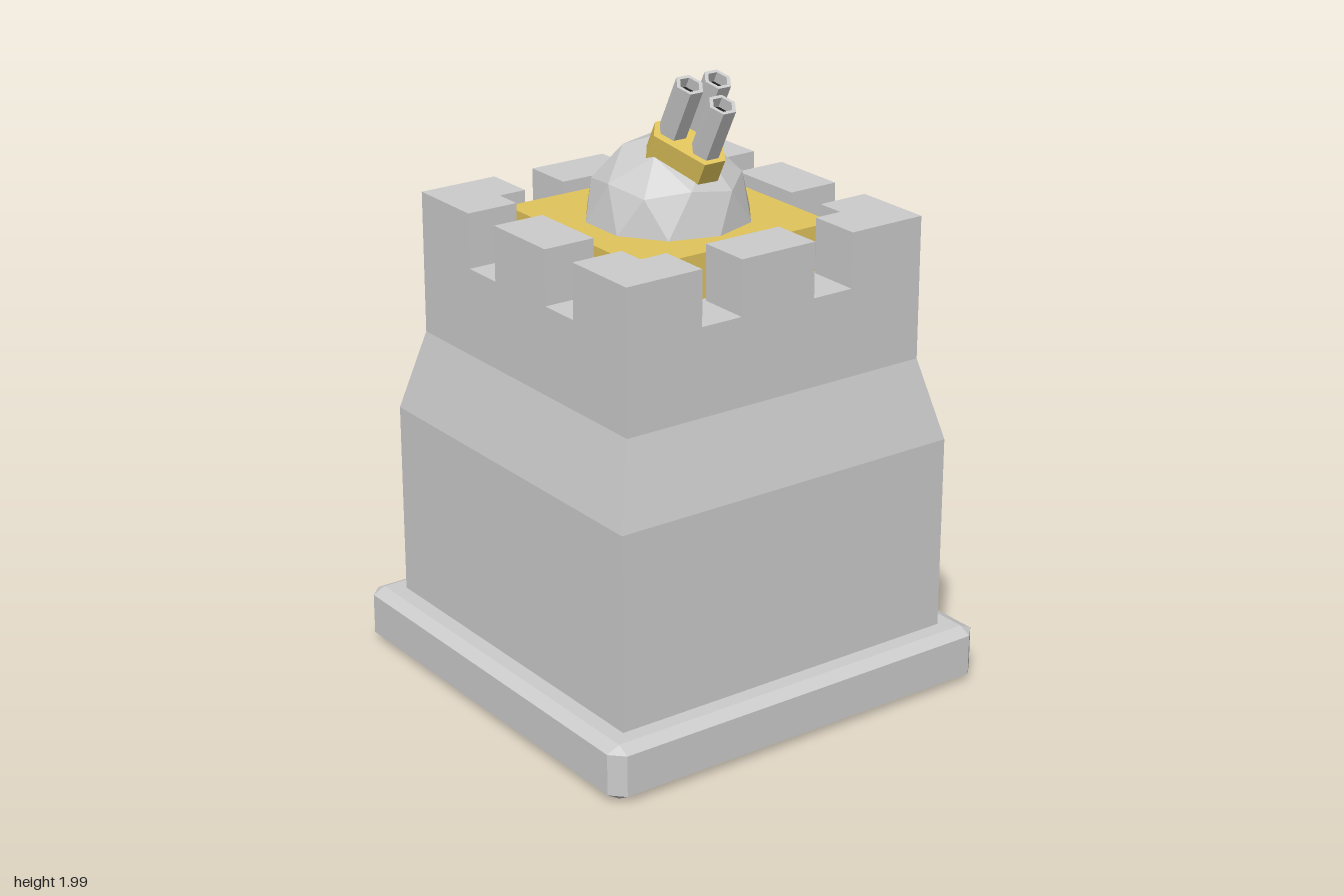
import * as THREE from 'three';
import { ConvexGeometry } from 'three/addons/geometries/ConvexGeometry.js';

const paint = (color) => new THREE.MeshStandardMaterial({ color, flatShading: true });
const GREY = paint(0xcccccc);
const GOLD = paint(0xe0c45c);
const DARK = paint(0x1c1c1c);

function add(parent, name, geometry, material) {
  const mesh = new THREE.Mesh(geometry, material);
  mesh.name = name;
  parent.add(mesh);
  return mesh;
}

// Upright prism from a plan outline of [x, z] points
function prism(outline, y, height) {
  const shape = new THREE.Shape(outline.map(([x, z]) => new THREE.Vector2(x, -z)));
  const geometry = new THREE.ExtrudeGeometry(shape, { depth: height, bevelEnabled: false });
  return geometry.rotateX(-Math.PI / 2).translate(0, y, 0);
}

// Slab with every edge chamfered
function chamferedSlab(half, inner, levels) {
  const points = [];
  for (const sx of [-1, 1]) for (const sz of [-1, 1]) {
    for (const y of [levels[0], levels[3]]) points.push(new THREE.Vector3(sx * inner, y, sz * inner));
    for (const y of [levels[1], levels[2]]) {
      points.push(new THREE.Vector3(sx * half, y, sz * inner));
      points.push(new THREE.Vector3(sx * inner, y, sz * half));
    }
  }
  return new ConvexGeometry(points);
}

// Three barrels on a blunt triangular mount, built along +y
function createGun() {
  const gun = new THREE.Group();
  gun.name = 'gun';
  const outline = [[-0.085, -0.102], [-0.125, -0.048], [-0.038, 0.11],
    [0.038, 0.11], [0.125, -0.048], [0.085, -0.102]];
  add(gun, 'gunMount', prism(outline, 0, 0.098), GOLD);

  const profile = [[0.046, 0.08], [0.046, 0.281], [0.033, 0.281], [0.033, 0.24]]
    .map(([r, y]) => new THREE.Vector2(r, y));
  for (const [x, z] of [[-0.052, -0.051], [0.052, -0.051], [0, 0.054]]) {
    const barrel = add(gun, 'barrel', new THREE.LatheGeometry(profile, 6, Math.PI / 2), GREY);
    barrel.position.set(x, 0, z);
    const bore = add(barrel, 'bore', new THREE.CircleGeometry(0.033, 6).rotateX(-Math.PI / 2), DARK);
    bore.position.y = 0.245;
  }
  return gun;
}

export function createModel() {
  const model = new THREE.Group();
  model.name = 'gunTower';

  add(model, 'base', chamferedSlab(0.711, 0.668, [0, 0.025, 0.16, 0.18]), GREY);

  // Square tower: half-widths swept with four sides
  const walls = [[0.616, 0.17], [0.616, 0.82], [0.549, 1.085], [0.549, 1.37], [0, 1.37]]
    .map(([half, y]) => new THREE.Vector2(half * Math.SQRT2, y));
  add(model, 'tower', new THREE.LatheGeometry(walls, 4, Math.PI / 4), GREY);

  // Battlements: an L-shaped corner and a middle block, repeated on four sides
  const out = 0.549, inn = 0.374, gap = 0.28, mid = 0.136;
  const corner = [[out, out], [out, gap], [inn, gap], [inn, inn], [gap, inn], [gap, out]];
  const middle = [[mid, out], [mid, inn], [-mid, inn], [-mid, out]];
  for (let i = 0; i < 4; i++) {
    const side = new THREE.Group();
    side.name = 'battlement';
    side.rotation.y = i * Math.PI / 2;
    add(side, 'cornerMerlon', prism(corner, 1.37, 0.178), GREY);
    add(side, 'middleMerlon', prism(middle, 1.37, 0.178), GREY);
    model.add(side);
  }

  const platform = add(model, 'platform', new THREE.BoxGeometry(0.716, 0.2, 0.716), GOLD);
  platform.position.y = 1.415;

  // Faceted dome, turned so one corner points straight up
  const ball = new THREE.IcosahedronGeometry(0.265, 1);
  ball.rotateX(-Math.atan((1 + Math.sqrt(5)) / 2)).rotateY(Math.PI / 2);
  const dome = add(model, 'dome', ball, GREY);
  dome.position.y = 1.514;

  const gun = createGun();
  gun.position.set(0, 1.701, 0.094);
  gun.rotation.x = 0.478;
  model.add(gun);

  return model;
}
